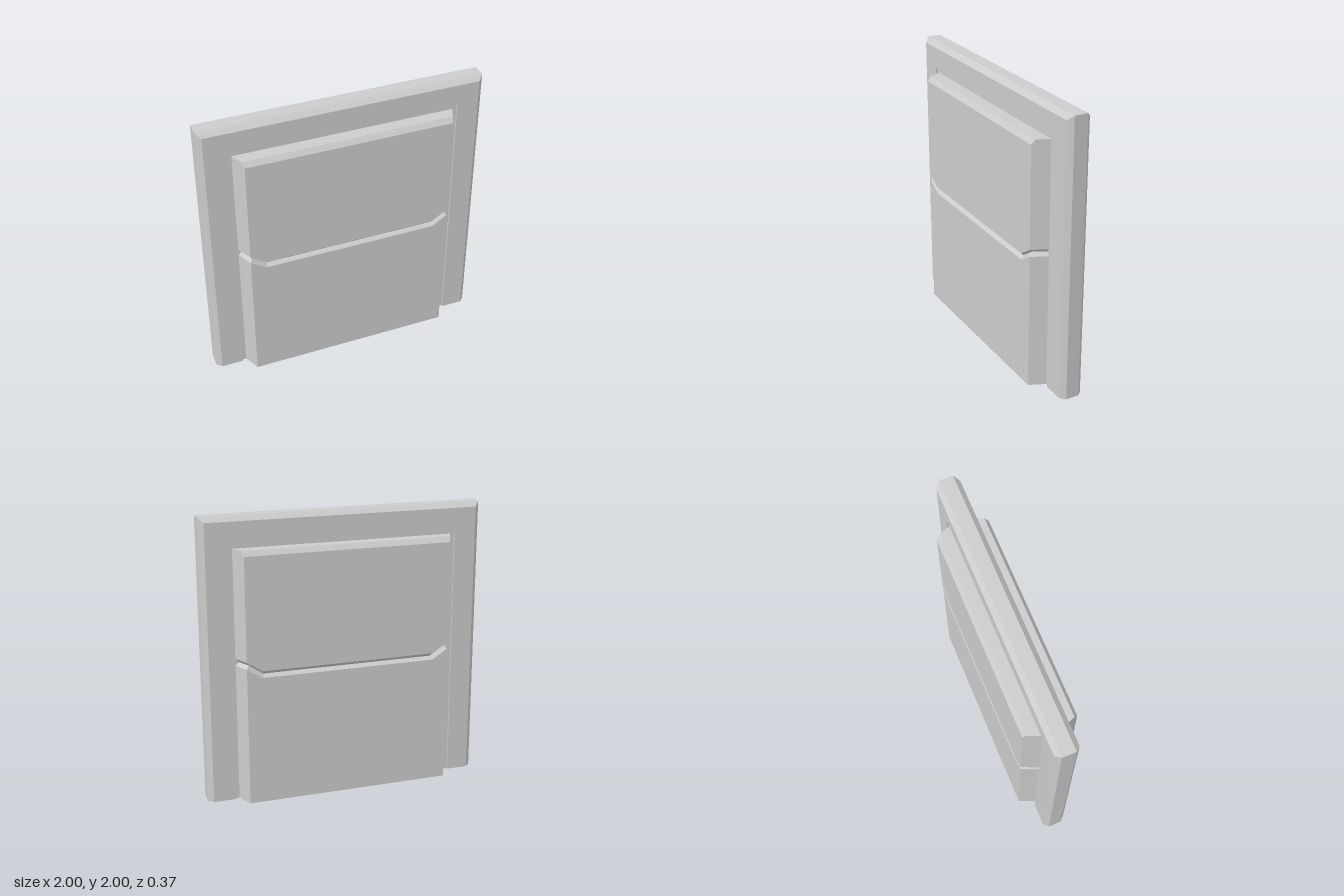
import * as THREE from 'three';

const grey = new THREE.MeshStandardMaterial({ color: 0xcccccc, side: THREE.DoubleSide });
grey.name = 'plainGrey';

// Flat-shaded skin between neighbouring rows of points
function loft(name, rows) {
  const pos = [];
  for (let r = 0; r + 1 < rows.length; r++) {
    const a = rows[r], b = rows[r + 1];
    for (let i = 0; i + 1 < a.length; i++) {
      pos.push(...a[i], ...b[i], ...b[i + 1], ...a[i], ...b[i + 1], ...a[i + 1]);
    }
  }
  const geo = new THREE.BufferGeometry();
  geo.setAttribute('position', new THREE.Float32BufferAttribute(pos, 3));
  geo.computeVertexNormals();
  const mesh = new THREE.Mesh(geo, grey);
  mesh.name = name;
  return mesh;
}

// Doorway-shaped outline, open at the bottom
const arch = (half, top, z) => [[-half, 0, z], [-half, top, z], [half, top, z], [half, 0, z]];

function createFace(name) {
  const face = new THREE.Group();
  face.name = name;

  // Bevelled frame, stepping down into the shallow gap around the door
  face.add(loft('doorFrame', [
    arch(1, 2, 0), arch(1, 2, 0.048), arch(0.965, 1.967, 0.083),
    arch(0.81, 1.82, 0.083), arch(0.81, 1.82, 0.07), arch(0.75, 1.755, 0.07),
  ]));

  // Door columns: x, z, groove x, groove z, groove bottom / middle / top, panel top
  const half = [
    [0.62, 0.185, 0.61, 0.16, 0.91, 0.933, 0.957, 1.75],
    [0.73, 0.185, 0.712, 0.16, 0.978, 1.002, 1.028, 1.75],
    [0.741, 0.16, 0.718, 0.15, 0.978, 1.002, 1.028, 1.785],
    [0.78, 0.07, 0.757, 0.07, 0.978, 1.002, 1.028, 1.785],
  ];
  const column = (side) => ([x, z, gx, gz, lo, mid, hi, top]) => [
    [side * x, 0, z], [side * x, lo, z], [side * gx, mid, gz], [side * x, hi, z], [side * x, top, z],
  ];
  face.add(loft('doorPanels', [...[...half].reverse().map(column(-1)), ...half.map(column(1))]));

  // Top of the door with its sloping front edge
  const edge = (x, y, z) => [[-x, y, z], [x, y, z]];
  face.add(loft('doorTop', [
    edge(0.78, 1.785, 0.07), edge(0.741, 1.785, 0.16), edge(0.73, 1.75, 0.185),
  ]));
  return face;
}

export function createModel() {
  const model = new THREE.Group();
  model.name = 'framedDoor';
  const back = createFace('backSide');
  back.rotation.y = Math.PI;
  model.add(createFace('frontSide'), back);
  return model;
}
